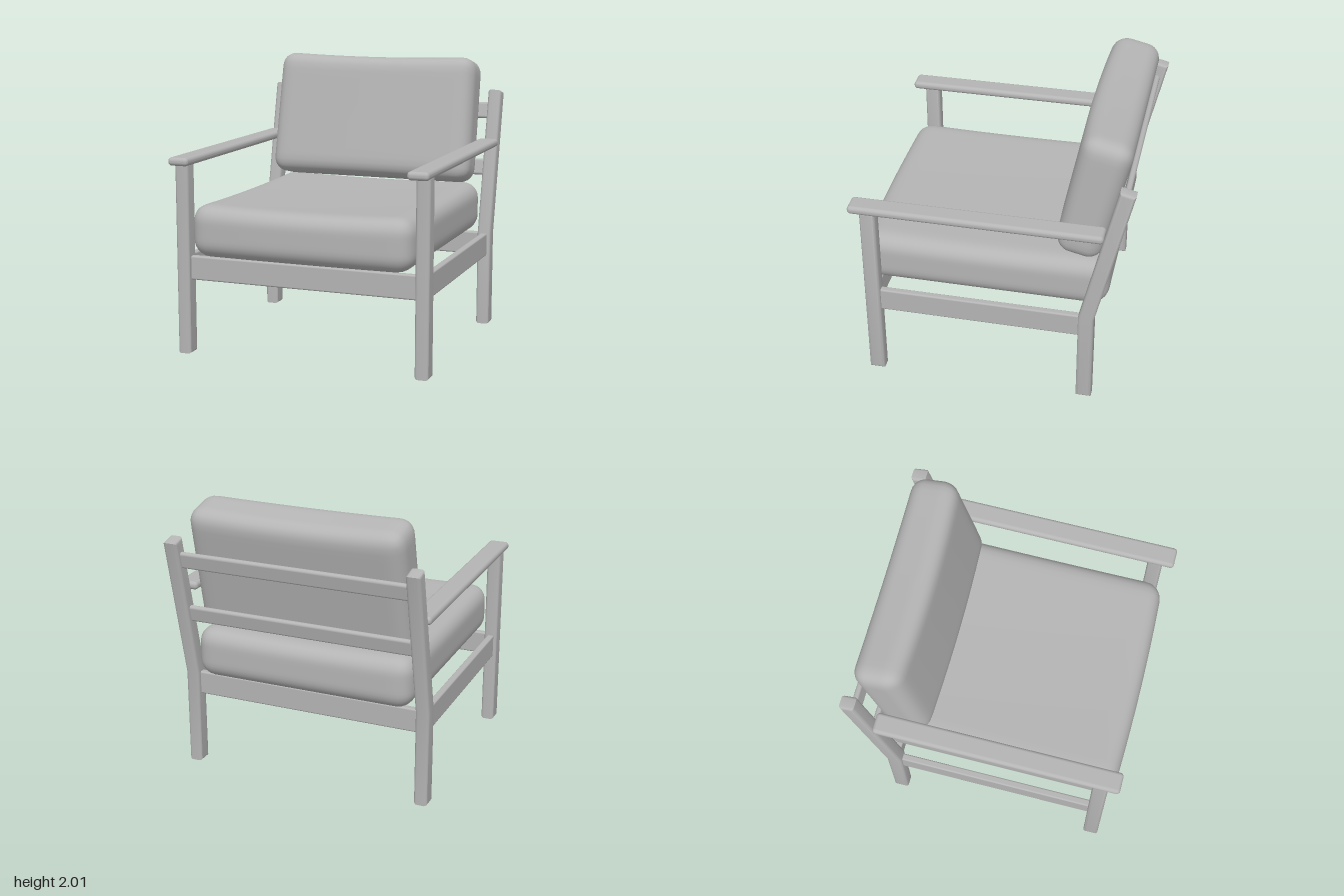
import * as THREE from 'three';
import { mergeVertices, toCreasedNormals } from 'three/addons/utils/BufferGeometryUtils.js';
import { RoundedBoxGeometry } from 'three/addons/geometries/RoundedBoxGeometry.js';

const SLOPE = 0.233; // backward lean of the rear posts
const LEAN = Math.atan(SLOPE);

// Rounded cushion block; the rule then reshapes each vertex (u, v, w run -1..1)
function cushion(w, h, d, r, rule) {
  const half = new THREE.Vector3(w / 2, h / 2, d / 2);
  const core = half.clone().subScalar(r);
  let geo = new THREE.BoxGeometry(2, 2, 2, 28, 20, 28);
  geo.deleteAttribute('uv');
  geo.deleteAttribute('normal');
  geo = mergeVertices(geo);
  const pos = geo.attributes.position;
  const p = new THREE.Vector3();
  const c = new THREE.Vector3();
  for (let i = 0; i < pos.count; i++) {
    p.fromBufferAttribute(pos, i);
    // crowd the grid towards the rounded edges
    p.set(...p.toArray().map((t) => Math.sin(t * Math.PI / 2))).multiply(half);
    c.copy(p).clamp(core.clone().negate(), core);
    p.sub(c).normalize().multiplyScalar(r).add(c);
    rule(p, p.x / half.x, p.y / half.y, p.z / half.z);
    pos.setXYZ(i, p.x, p.y, p.z);
  }
  geo.computeVertexNormals();
  return geo;
}

// Post with a side profile of [z, y] points, extruded across x with softened edges
function post(points, width, bevel) {
  const shape = new THREE.Shape(points.map(([z, y]) => new THREE.Vector2(z, y)));
  const geo = new THREE.ExtrudeGeometry(shape, {
    depth: width - 2 * bevel, bevelEnabled: true, bevelThickness: bevel,
    bevelSize: bevel, bevelOffset: -bevel, bevelSegments: 4,
  });
  geo.translate(0, 0, -(width - 2 * bevel) / 2);
  geo.rotateY(-Math.PI / 2);
  return toCreasedNormals(geo, 0.7);
}

export function createModel() {
  const chair = new THREE.Group();
  chair.name = 'armchair';
  const grey = new THREE.MeshStandardMaterial({ color: 0xb4b4b4 });
  grey.name = 'plain grey';

  const add = (name, geo, x, y, z, rx = 0) => {
    const mesh = new THREE.Mesh(geo, grey);
    mesh.name = name;
    mesh.position.set(x, y, z);
    mesh.rotation.x = rx;
    chair.add(mesh);
  };

  // Legs, armrests and side rails, mirrored
  const frontLeg = post([[0.78, 0], [0.89, 0], [0.89, 1.36], [0.78, 1.36]], 0.1, 0.022);
  const backLeg = post([
    [-0.73, 0], [-0.62, 0], [-0.62, 0.7], [-0.865, 1.76], [-0.97, 1.735], [-0.73, 0.69],
  ], 0.1, 0.022);
  const armrest = new RoundedBoxGeometry(0.15, 0.058, 1.745, 4, 0.026);
  const sideRail = new RoundedBoxGeometry(0.05, 0.17, 1.42, 3, 0.012);
  for (const [side, s] of [['left', 1], ['right', -1]]) {
    add(`${side}FrontLeg`, frontLeg, s * 0.873, 0, 0);
    add(`${side}BackLeg`, backLeg, s * 0.873, 0, 0);
    add(`${side}Armrest`, armrest, s * 0.86, 1.373, 0.098);
    add(`${side}SideRail`, sideRail, s * 0.873, 0.615, 0.08);
  }

  // Front and back rails of the seat frame
  const crossRail = new RoundedBoxGeometry(1.66, 0.17, 0.05, 3, 0.012);
  add('frontRail', crossRail, 0, 0.615, 0.835);
  add('backRail', crossRail, 0, 0.615, -0.675);

  // Slats between the leaning posts
  const slat = new RoundedBoxGeometry(1.67, 0.122, 0.04, 4, 0.018);
  for (const [name, y] of [['lowerBackSlat', 1.18], ['upperBackSlat', 1.6]]) {
    add(name, slat, 0, y, -0.675 - SLOPE * (y - 0.7), -LEAN);
  }

  // Seat cushion: flat below, gently sunken top, slightly bowed front
  const seat = cushion(1.61, 0.38, 1.73, 0.125, (p, u, v, w) => {
    if (v > 0) p.y -= v * (0.018 * (1 - u * u) + 0.016 * (1 - w * w));
    if (w > 0) p.z += w * 0.02 * (1 - u * u);
  });
  add('seatCushion', seat, 0, 0.89, 0.065);

  // Back cushion: flat behind, fuller front, top edge dipping in the middle
  const back = cushion(1.56, 0.93, 0.335, 0.11, (p, u, v, w) => {
    if (w > 0) p.z += w * (0.025 * (1 - u * u) + 0.014 * v);
    if (v > 0) p.y -= v * 0.022 * (1 - u * u);
    p.x *= 1 - 0.008 * v;
  });
  add('backCushion', back, 0, 1.545, -0.668, -LEAN);

  return chair;
}
